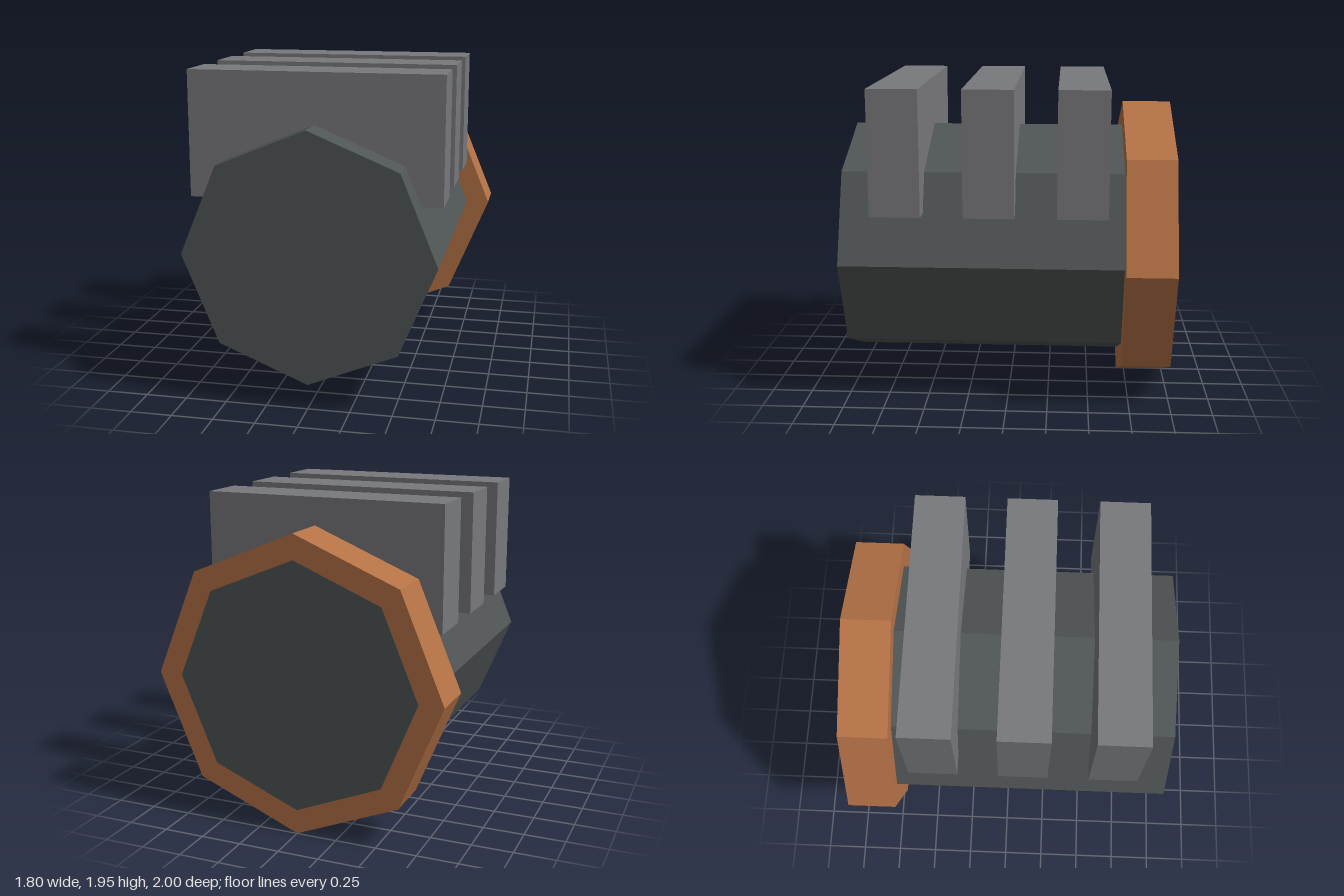
import * as THREE from 'three';

const AXIS_Y = 0.9;

export function createModel() {
  const model = new THREE.Group();
  model.name = 'finnedBarrel';

  const mat = (name, color) => {
    const m = new THREE.MeshStandardMaterial({ color });
    m.name = name;
    return m;
  };
  const darkIron = mat('dark iron', 0x505555);
  const steelGrey = mat('steel grey', 0x78797d);
  const copper = mat('copper', 0xb57246);

  const add = (name, geometry, material, x, y, z) => {
    const mesh = new THREE.Mesh(geometry, material);
    mesh.name = name;
    mesh.position.set(x, y, z);
    model.add(mesh);
  };

  // Octagonal prism lying along z, one corner pointing up, with hard facets
  const prism = (radius, length) => {
    const g = new THREE.CylinderGeometry(radius, radius, length, 8).rotateX(Math.PI / 2).toNonIndexed();
    g.computeVertexNormals();
    return g;
  };

  // Main barrel, running the full length
  add('barrel', prism(0.75, 2), darkIron, 0, AXIS_Y, 0);

  // Rear collar, set a hair in front of the barrel's end face
  add('rearCollar', prism(0.9, 0.298), copper, 0, AXIS_Y, -0.849);

  // Three upright cooling fins
  [0.65, 0.1, -0.45].forEach((z, i) => {
    add(`fin${i + 1}`, new THREE.BoxGeometry(1.5, 0.75, 0.3), steelGrey, 0, 1.575, z);
  });

  return model;
}
